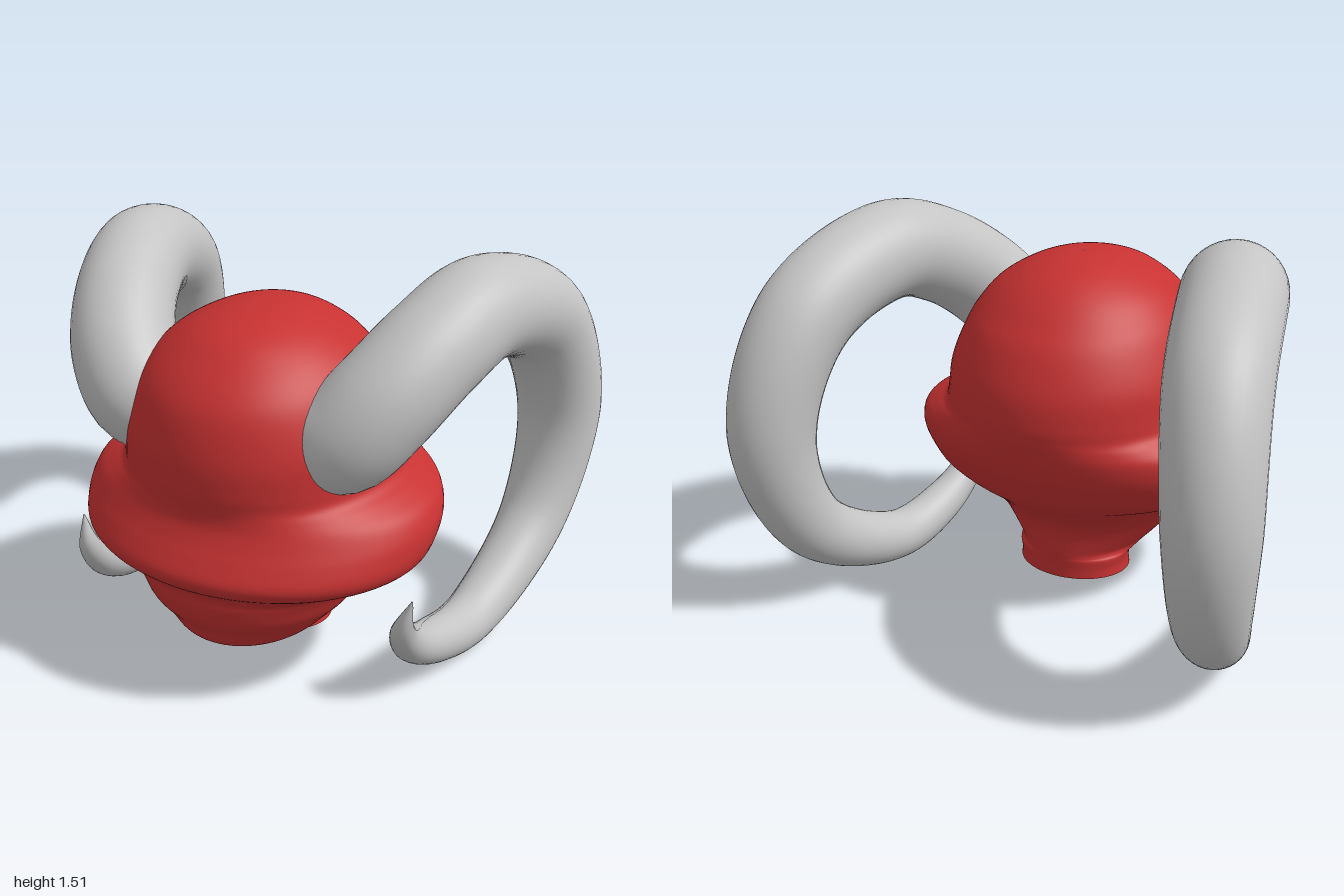
import * as THREE from 'three';

const red = new THREE.MeshStandardMaterial({ color: 0xc83232 });
red.name = 'red skin';
const grey = new THREE.MeshStandardMaterial({ color: 0xc4c4c4 });
grey.name = 'grey horn';

// Head cross-sections from neck to crown: y, half width, front z, back z
const SECTIONS = [
  [0.075, 0.225, 0.325, -0.04], [0.11, 0.222, 0.323, -0.04], [0.148, 0.228, 0.33, -0.042],
  [0.16, 0.24, 0.45, -0.043], [0.176, 0.258, 0.59, -0.045], [0.2, 0.283, 0.64, -0.046],
  [0.26, 0.335, 0.668, -0.05], [0.32, 0.385, 0.71, -0.07], [0.39, 0.43, 0.73, -0.135],
  [0.43, 0.475, 0.733, -0.18], [0.46, 0.555, 0.745, -0.21], [0.505, 0.63, 0.795, -0.245],
  [0.55, 0.657, 0.81, -0.27], [0.61, 0.668, 0.78, -0.3], [0.66, 0.662, 0.75, -0.317],
  [0.71, 0.635, 0.727, -0.33], [0.75, 0.575, 0.722, -0.34], [0.785, 0.518, 0.727, -0.348],
  [0.84, 0.5, 0.735, -0.352], [0.95, 0.485, 0.733, -0.335], [1.08, 0.435, 0.7, -0.275],
  [1.16, 0.388, 0.65, -0.21], [1.23, 0.322, 0.575, -0.14], [1.285, 0.235, 0.495, -0.06],
  [1.32, 0.15, 0.39, 0.03], [1.337, 0.07, 0.29, 0.12], [1.341, 0.001, 0.201, 0.199],
];

// Horn path, root to tip: x, y, z, radius
const HORN = [
  [0.28, 0.94, 0.36, 0.185], [0.4, 0.99, 0.4, 0.19], [0.5, 1.11, 0.345, 0.19],
  [0.6, 1.25, 0.17, 0.187], [0.68, 1.325, -0.08, 0.185], [0.78, 1.17, -0.48, 0.175],
  [0.84, 0.77, -0.645, 0.16], [0.81, 0.34, -0.505, 0.13], [0.72, 0.105, -0.08, 0.1],
  [0.668, 0.143, 0.2, 0.085], [0.645, 0.235, 0.375, 0.066], [0.647, 0.33, 0.446, 0.042],
  [0.672, 0.445, 0.435, 0.002],
];

// Smooth surface lofted through the elliptical sections
function headGeometry(rows = 130, cols = 72) {
  const spline = (pts) => new THREE.CatmullRomCurve3(pts, false, 'catmullrom', 0.5);
  const front = spline(SECTIONS.map(([y, w, f]) => new THREE.Vector3(w, y, f)));
  const back = spline(SECTIONS.map(([y, w, , b]) => new THREE.Vector3(w, y, b)));
  const pos = [], index = [];
  for (let i = 0; i <= rows; i++) {
    const f = front.getPoint(i / rows), b = back.getPoint(i / rows);
    const mid = (f.z + b.z) / 2, depth = (f.z - b.z) / 2;
    for (let j = 0; j < cols; j++) {
      const a = (j / cols) * Math.PI * 2;
      pos.push(f.x * Math.sin(a), f.y, mid + depth * Math.cos(a));
      if (i === rows) continue;
      const k = (j + 1) % cols, p = i * cols, q = p + cols;
      index.push(p + j, p + k, q + k, p + j, q + k, q + j);
    }
  }
  const g = new THREE.BufferGeometry();
  g.setAttribute('position', new THREE.Float32BufferAttribute(pos, 3));
  g.setIndex(index);
  g.computeVertexNormals();
  return g;
}

// Tube along the curl, narrowed ring by ring
function hornGeometry(side, rings = 140, sides = 36) {
  const curve = new THREE.CatmullRomCurve3(
    HORN.map(([x, y, z]) => new THREE.Vector3(side * x, y, z)));
  const g = new THREE.TubeGeometry(curve, rings, 1, sides, false);
  const pos = g.attributes.position, v = new THREE.Vector3();
  for (let i = 0; i <= rings; i++) {
    const c = curve.getPointAt(i / rings);
    const s = curve.getUtoTmapping(i / rings) * (HORN.length - 1);
    const k = Math.min(Math.floor(s), HORN.length - 2);
    const r = THREE.MathUtils.lerp(HORN[k][3], HORN[k + 1][3], s - k);
    for (let j = 0; j <= sides; j++) {
      const n = i * (sides + 1) + j;
      v.fromBufferAttribute(pos, n).sub(c).multiplyScalar(r).add(c);
      pos.setXYZ(n, v.x, v.y, v.z);
    }
  }
  return g;
}

export function createModel() {
  const group = new THREE.Group();
  const add = (name, geometry, material) => {
    const mesh = new THREE.Mesh(geometry, material);
    mesh.name = name;
    group.add(mesh);
  };

  add('head', headGeometry(), red);

  // Flat underside of the neck
  const [y, w, f, b] = SECTIONS[0];
  add('neckBase', new THREE.CircleGeometry(1, 72).rotateX(Math.PI / 2)
    .scale(w, 1, (f - b) / 2).translate(0, y, (f + b) / 2), red);

  add('leftHorn', hornGeometry(1), grey);
  add('rightHorn', hornGeometry(-1), grey);
  return group;
}
